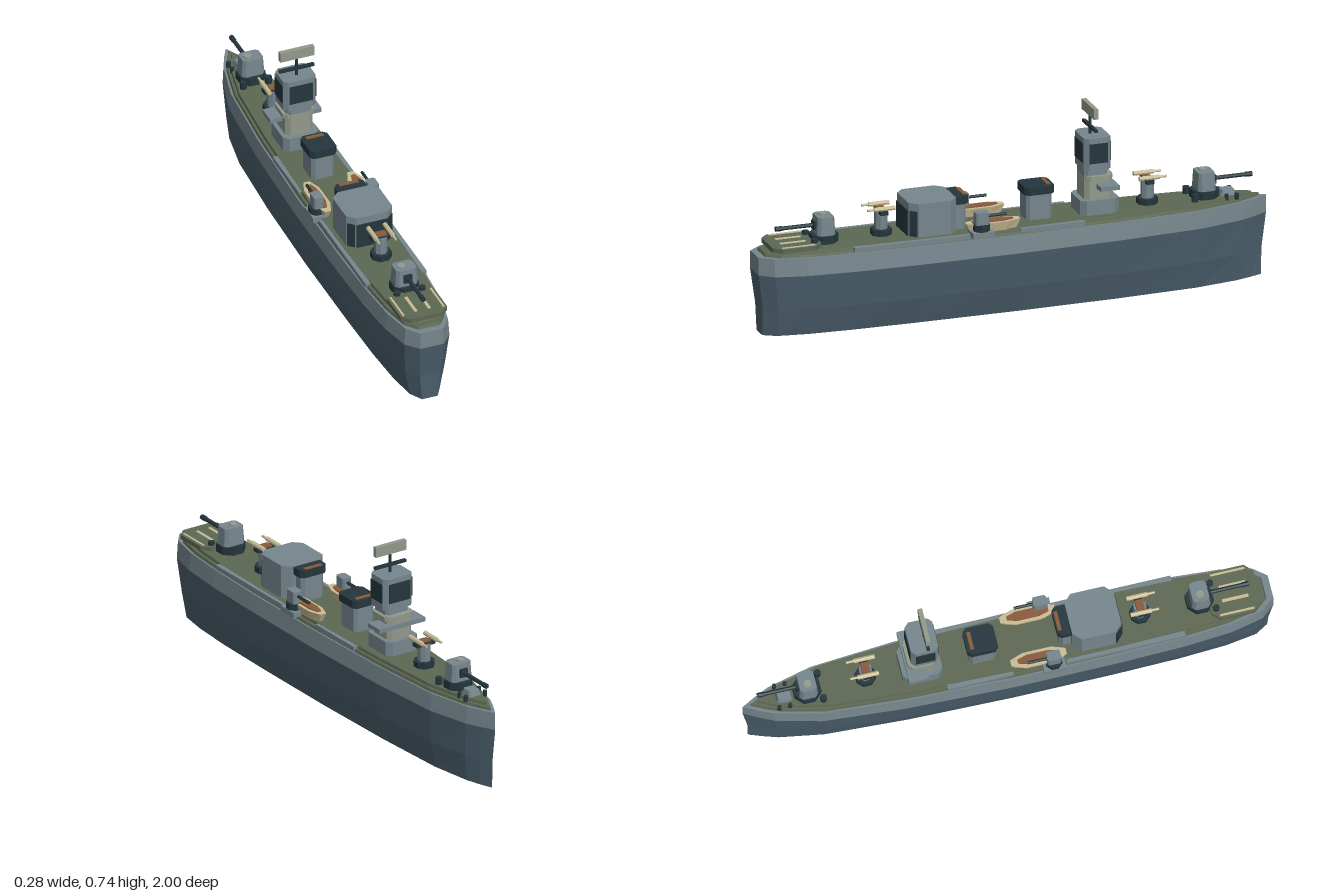
import * as THREE from 'three';

const mat = (name, color) => Object.assign(new THREE.MeshStandardMaterial({ color, flatShading: true }), { name });

export function createModel() {
  const ship = new THREE.Group();
  ship.name = 'warship';
  const M = {
    hull: mat('hullSlate', 0x4a5e6b),
    grey: mat('lightGrey', 0x76868d),
    deck: mat('deckGreen', 0x5d6853),
    dark: mat('darkSteel', 0x24363c),
    tan: mat('tan', 0xc8bd96),
    olive: mat('paleOlive', 0x929a8a),
    brown: mat('rust', 0x8a5a3a),
  };

  const add = (parent, name, geo, m, x = 0, y = 0, z = 0) => {
    const mesh = new THREE.Mesh(geo, m);
    mesh.name = name;
    mesh.position.set(x, y, z);
    parent.add(mesh);
    return mesh;
  };
  const group = (name, x = 0, y = 0, z = 0) => {
    const g = new THREE.Group();
    g.name = name;
    g.position.set(x, y, z);
    ship.add(g);
    return g;
  };
  const box = (p, name, m, w, h, d, x, y, z) => add(p, name, new THREE.BoxGeometry(w, h, d), m, x, y, z);
  // Rod along z, thicker at its +z end when r1 > r0
  const rod = (p, name, m, r0, r1, len, x, y, z) =>
    add(p, name, new THREE.CylinderGeometry(r0, r1, len, 8).rotateX(-Math.PI / 2), m, x, y, z);
  const drum = (p, name, m, r, h, x, y, z, n = 8) =>
    add(p, name, new THREE.CylinderGeometry(r, r, h, n).rotateY(Math.PI / n), m, x, y, z);

  // Stacks a convex outline [x, z] through levels [y, xScale, zScale] and caps both ends
  function loft(ring, levels) {
    const rows = levels.map(([y, sx, sz = sx]) => ring.map(([x, z]) => [x * sx, y, z * sz]));
    const out = [], n = ring.length, top = rows[rows.length - 1];
    const tri = (...pts) => pts.forEach((p) => out.push(...p));
    for (let r = 0; r < rows.length - 1; r++) {
      for (let i = 0; i < n; i++) {
        const j = (i + 1) % n, a = rows[r], b = rows[r + 1];
        tri(a[i], b[i], a[j]);
        tri(a[j], b[i], b[j]);
      }
    }
    for (let i = 1; i < n - 1; i++) {
      tri(rows[0][0], rows[0][i], rows[0][i + 1]);
      tri(top[0], top[i + 1], top[i]);
    }
    const g = new THREE.BufferGeometry();
    g.setAttribute('position', new THREE.Float32BufferAttribute(out, 3));
    g.computeVertexNormals();
    return g;
  }
  // Block with cut vertical corners; w and d are half sizes
  const cut = (w, d, c) => [[c - w, -d], [w - c, -d], [w, c - d], [w, d - c], [w - c, d], [c - w, d], [-w, d - c], [-w, c - d]];
  const block = (p, name, m, w, d, c, y0, y1, x = 0, z = 0, taper = 1) =>
    add(p, name, loft(cut(w, d, c), [[y0, 1], [y1, taper]]), m, x, 0, z);

  // Hull and stepped deck share one outline, bow towards -z
  const side = [[0.028, -0.95], [0.057, -0.89], [0.1, -0.72], [0.125, -0.4], [0.137, 0], [0.136, 0.4],
    [0.13, 0.65], [0.116, 0.83], [0.09, 0.95], [0.047, 1]];
  const plan = [[0, -1], ...side, ...side.map(([x, z]) => [-x, z]).reverse()];
  add(ship, 'lowerHull', loft(plan, [[0, 0.66, 0.98], [0.105, 0.875, 0.982], [0.24, 1, 1]]), M.hull);
  add(ship, 'upperHull', loft(plan, [[0.24, 1, 1], [0.308, 0.94, 1]]), M.grey);
  add(ship, 'outerDeck', loft(plan, [[0.306, 0.9, 0.975], [0.319, 0.87, 0.97]]), M.deck);
  add(ship, 'innerDeck', loft(plan, [[0.318, 0.8, 0.945], [0.33, 0.78, 0.94]]), M.deck);
  for (const s of [-1, 1]) {
    box(ship, 'sideWalkwayForward', M.grey, 0.02, 0.018, 0.25, s * 0.11, 0.32, -0.125);
    box(ship, 'sideWalkwayAft', M.grey, 0.02, 0.018, 0.45, s * 0.111, 0.32, 0.425);
  }

  // Stern platform with painted lines
  block(ship, 'sternPlatform', M.deck, 0.093, 0.095, 0.03, 0.328, 0.345, 0, 0.855);
  for (const s of [-1, 1]) {
    box(ship, 'edgeLine', M.tan, 0.008, 0.004, 0.13, s * 0.08, 0.346, 0.855);
    box(ship, 'innerLine', M.tan, 0.012, 0.004, 0.1, s * 0.027, 0.346, 0.86);
  }

  // Main gun turrets, dir is the way the barrel points
  function mainTurret(name, z, dir) {
    const g = group(name, 0, 0, z);
    drum(g, 'turretBase', M.dark, 0.055, 0.034, 0, 0.344, 0);
    block(g, 'turretHouse', M.grey, 0.045, 0.035, 0.012, 0.36, 0.43, 0, 0, 0.9);
    drum(g, 'turretHatch', M.olive, 0.016, 0.005, -0.012, 0.432, 0);
    drum(g, 'rangefinder', M.dark, 0.013, 0.03, 0.05, 0.343, 0.052);
    drum(g, 'rangefinder', M.dark, 0.013, 0.03, -0.05, 0.343, 0.052);
    const gun = new THREE.Group();
    gun.name = 'gun';
    gun.rotation.y = dir > 0 ? 0 : Math.PI;
    g.add(gun);
    box(gun, 'mantlet', M.dark, 0.032, 0.032, 0.012, 0, 0.395, 0.037);
    rod(gun, 'barrel', M.dark, 0.008, 0.008, 0.15, 0, 0.395, 0.105);
    rod(gun, 'muzzle', M.dark, 0.01, 0.01, 0.025, 0, 0.395, 0.175);
  }
  mainTurret('bowTurret', -0.757, -1);
  mainTurret('sternTurret', 0.73, 1);

  // Anchor gear on the bow
  block(ship, 'windlass', M.grey, 0.027, 0.03, 0.008, 0.328, 0.35, 0, -0.845, 0.8);
  for (const s of [-1, 1]) {
    for (const z of [-0.87, -0.83]) drum(ship, 'bollard', M.dark, 0.008, 0.024, s * 0.043, 0.33, z);
  }

  // Twin anti-aircraft mounts
  for (const [z, dir] of [[-0.535, -1], [0.505, 1]]) {
    const g = group('twinGunMount', 0, 0, z);
    drum(g, 'mountBase', M.dark, 0.04, 0.026, 0, 0.34, 0);
    drum(g, 'mountColumn', M.grey, 0.025, 0.07, 0, 0.385, 0);
    box(g, 'mountHead', M.dark, 0.082, 0.014, 0.03, 0, 0.42, 0);
    box(g, 'mountCap', M.brown, 0.04, 0.008, 0.03, 0, 0.43, 0);
    for (const s of [-1, 1]) {
      rod(g, 'gunTube', M.tan, 0.009, 0.009, 0.08, s * 0.033, 0.437, -dir * 0.003);
      rod(g, 'gunTip', M.tan, 0.005, 0.005, 0.03, s * 0.033, 0.437, dir * 0.05);
    }
  }

  // Bridge tower
  const t = group('bridgeTower', 0, 0, -0.33);
  block(t, 'towerBase', M.grey, 0.07, 0.075, 0.02, 0.328, 0.386);
  block(t, 'towerMiddle', M.olive, 0.054, 0.055, 0.015, 0.385, 0.478);
  box(t, 'bridgeWings', M.grey, 0.205, 0.017, 0.075, 0, 0.438, -0.025);
  block(t, 'towerLedge', M.olive, 0.063, 0.052, 0.015, 0.46, 0.477);
  block(t, 'towerNeck', M.grey, 0.05, 0.045, 0.012, 0.476, 0.502, 0, 0.01);
  block(t, 'towerHead', M.grey, 0.065, 0.052, 0.016, 0.5, 0.626, 0, 0.008);
  for (const s of [-1, 1]) {
    box(t, 'sideWindow', M.dark, 0.006, 0.076, 0.072, s * 0.065, 0.567, 0.008);
    box(t, 'endWindow', M.dark, 0.092, 0.076, 0.006, 0, 0.567, 0.008 + s * 0.052);
  }
  drum(t, 'mast', M.dark, 0.006, 0.085, 0, 0.665, 0.018);
  box(t, 'yardArm', M.dark, 0.138, 0.011, 0.012, 0, 0.655, 0.018);
  box(t, 'radarPanel', M.olive, 0.135, 0.04, 0.017, 0, 0.72, 0.018);

  // Funnels
  function funnel(name, z, w, d) {
    const g = group(name, 0, 0, z);
    block(g, 'funnelBody', M.grey, w - 0.008, d - 0.008, 0.012, 0.328, 0.43);
    block(g, 'funnelCap', M.dark, w, d, 0.014, 0.428, 0.458);
    box(g, 'funnelVent', M.brown, w * 1.3, 0.006, 0.014, 0, 0.459, -d * 0.65);
  }
  funnel('forwardFunnel', -0.1, 0.053, 0.058);
  funnel('aftFunnel', 0.215, 0.058, 0.034);

  // Hangar with aft door
  block(ship, 'hangar', M.grey, 0.092, 0.093, 0.03, 0.328, 0.46, 0, 0.327);
  box(ship, 'hangarDoor', M.dark, 0.124, 0.098, 0.007, 0, 0.381, 0.421);
  for (const s of [-1, 1]) {
    const panel = box(ship, 'hangarCornerPanel', M.dark, 0.032, 0.098, 0.006, s * 0.077, 0.381, 0.405);
    panel.rotation.y = s * Math.PI / 4;
  }

  // Lifeboats and side guns
  const boat = [[-0.012, -0.105], [0.012, -0.105], [0.03, -0.055], [0.03, 0.055], [0.012, 0.105],
    [-0.012, 0.105], [-0.03, 0.055], [-0.03, -0.055]];
  for (const s of [-1, 1]) {
    const b = group(s > 0 ? 'leftLifeboat' : 'rightLifeboat', s * 0.087, 0, 0.1);
    add(b, 'boatHull', loft(boat, [[0.328, 0.7, 0.85], [0.363, 1]]), M.tan);
    add(b, 'boatInterior', loft(boat, [[0.362, 0.6, 0.75], [0.367, 0.6, 0.75]]), M.brown);

    const g = group(s > 0 ? 'leftSideGun' : 'rightSideGun', s * 0.11, 0, 0.152);
    box(g, 'sponson', M.grey, 0.064, 0.02, 0.085, 0, 0.328, 0);
    drum(g, 'gunBase', M.dark, 0.032, 0.026, 0, 0.35, 0);
    block(g, 'gunHouse', M.grey, 0.019, 0.026, 0.006, 0.36, 0.41);
    rod(g, 'barrel', M.dark, 0.006, 0.006, 0.075, 0, 0.392, -0.06);
  }
  return ship;
}
